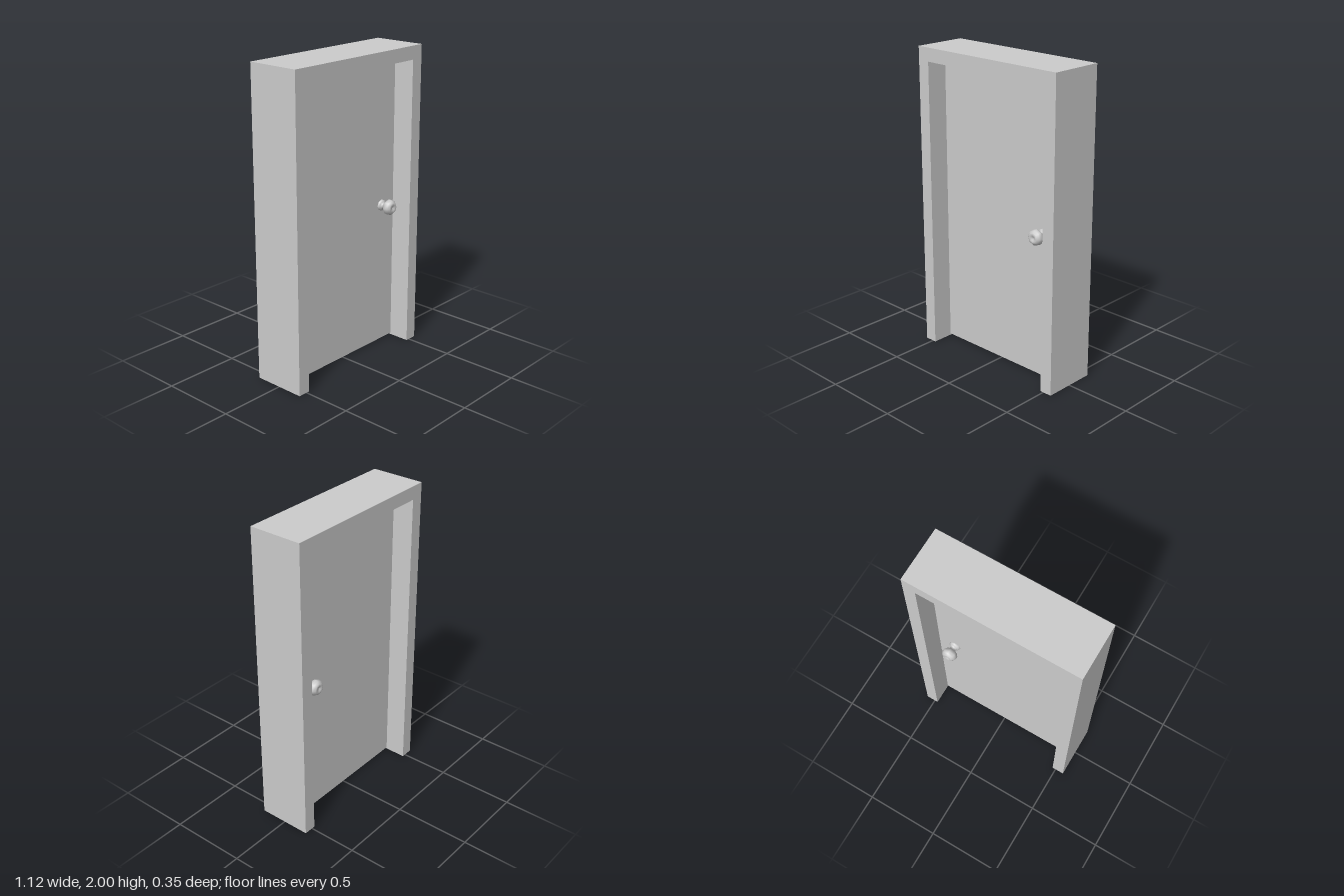
import * as THREE from 'three';

const W = 0.56, H = 2, D = 0.354;        // frame half width, height, depth
const OPEN_W = 0.477, OPEN_H = 1.913;    // opening half width and height
const DOOR_T = 0.07, DOOR_GAP = 0.01;    // door thickness, gap at the floor

export function createModel() {
  const model = new THREE.Group();
  model.name = 'door';
  const flat = new THREE.MeshStandardMaterial({ color: 0xcccccc, flatShading: true });
  const smooth = new THREE.MeshStandardMaterial({ color: 0xcccccc });

  const add = (name, geometry, material) => {
    const mesh = new THREE.Mesh(geometry, material);
    mesh.name = name;
    model.add(mesh);
    return mesh;
  };

  // Frame: two jambs and a head in one outline, open at the floor
  const outline = new THREE.Shape([
    [-W, 0], [-OPEN_W, 0], [-OPEN_W, OPEN_H], [OPEN_W, OPEN_H],
    [OPEN_W, 0], [W, 0], [W, H], [-W, H],
  ].map(([x, y]) => new THREE.Vector2(x, y)));
  const frame = new THREE.ExtrudeGeometry(outline, { depth: D, bevelEnabled: false });
  add('frame', frame.translate(0, 0, -D / 2), flat);

  // Door panel, set in the middle of the frame depth
  const panelHeight = OPEN_H - DOOR_GAP;
  add('doorPanel', new THREE.BoxGeometry(OPEN_W * 2, panelHeight, DOOR_T), flat)
    .position.y = DOOR_GAP + panelHeight / 2;

  // Knob profile: rose, neck, round grip and a dimpled face
  const profile = [
    [0.038, 0], [0.038, 0.008], [0.03, 0.016], [0.02, 0.022], [0.02, 0.034],
    [0.036, 0.042], [0.049, 0.056], [0.052, 0.07], [0.047, 0.086],
    [0.035, 0.098], [0.024, 0.101], [0.016, 0.097], [0, 0.091],
  ].map(([r, h]) => new THREE.Vector2(r, h));
  const knob = new THREE.LatheGeometry(profile, 8).rotateX(Math.PI / 2);

  // One knob on each face of the door
  for (const side of [1, -1]) {
    const mesh = add(side > 0 ? 'frontKnob' : 'backKnob', knob, smooth);
    mesh.position.set(0.36, 0.964, side * DOOR_T / 2);
    if (side < 0) mesh.rotation.y = Math.PI;
  }
  return model;
}
